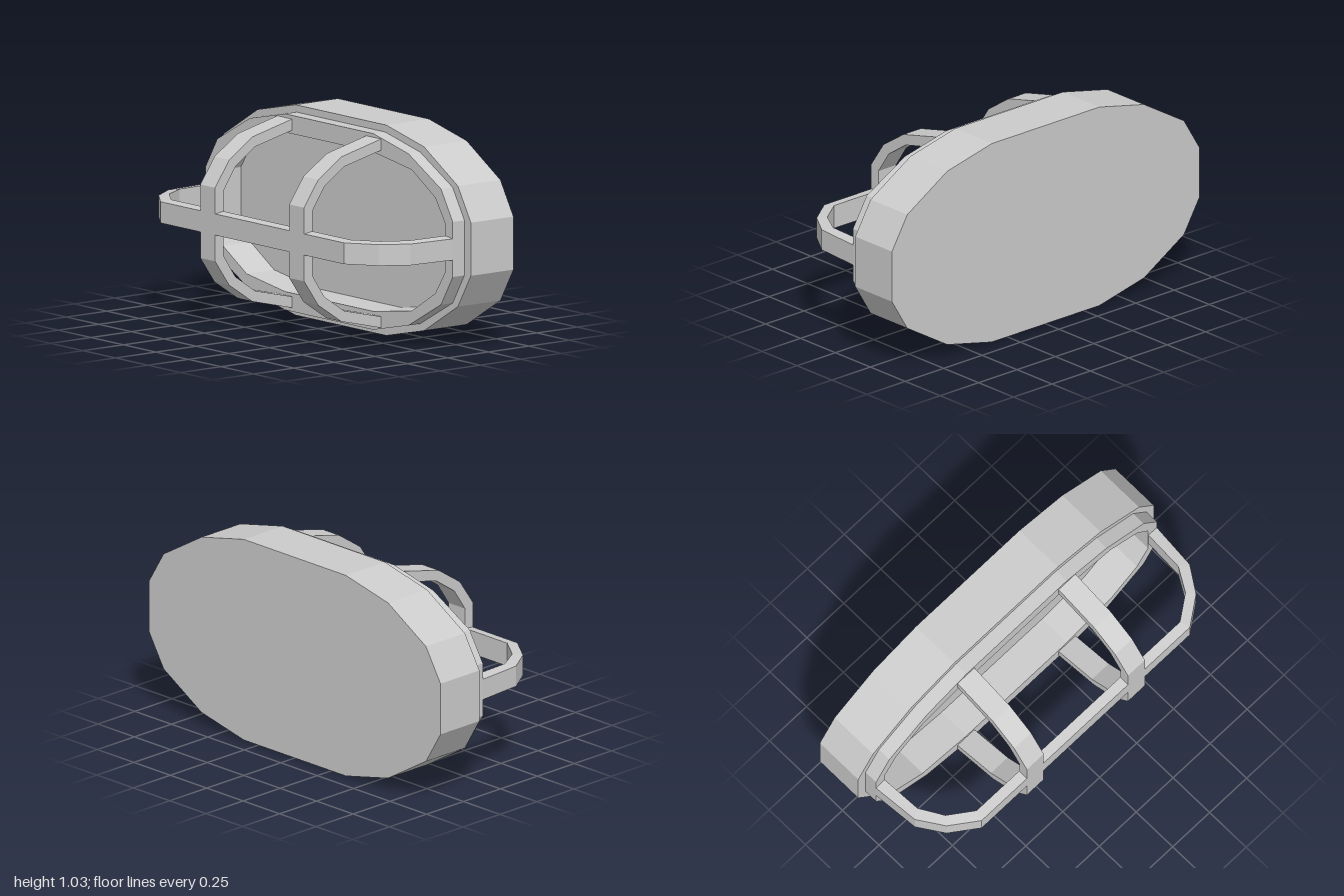
import * as THREE from 'three';

const material = new THREE.MeshStandardMaterial({ color: 0xcccccc, flatShading: true });
const CENTRE_Y = 0.515;

// Skin a list of equal-length closed loops of [x, y, z] points
function loft(name, loops) {
  const pos = [];
  const n = loops[0].length;
  for (let s = 0; s < loops.length - 1; s++) {
    for (let i = 0; i < n; i++) {
      const j = (i + 1) % n;
      const a = loops[s][i], b = loops[s][j], c = loops[s + 1][j], d = loops[s + 1][i];
      pos.push(...a, ...b, ...c, ...a, ...c, ...d);
    }
  }
  const geometry = new THREE.BufferGeometry();
  geometry.setAttribute('position', new THREE.Float32BufferAttribute(pos, 3));
  geometry.computeVertexNormals();
  const mesh = new THREE.Mesh(geometry, material);
  mesh.name = name;
  return mesh;
}

// Mirror one quarter outline into a counter-clockwise 16-sided loop at depth z
function outline(quarter, z) {
  const flipped = [...quarter].reverse();
  return [
    ...quarter,
    ...flipped.map(([x, y]) => [-x, y]),
    ...quarter.map(([x, y]) => [-x, -y]),
    ...flipped.map(([x, y]) => [x, -y]),
  ].map(([x, y]) => [x, y, z]);
}

// Flat bent strap arching over the front: half profiles of [across, z]
function strap(name, outer, inner, outerWidth, innerWidth) {
  const mirror = (p) => [...p, ...[...p].reverse().map(([a, z]) => [-a, z])];
  const out = mirror(outer), inn = mirror(inner);
  const loops = out.map(([a, z], i) => {
    const [b, w] = inn[i];
    return [
      [a, outerWidth / 2, z], [b, innerWidth / 2, w],
      [b, -innerWidth / 2, w], [a, -outerWidth / 2, z],
    ];
  });
  return loft(name, loops);
}

export function createModel() {
  const model = new THREE.Group();
  model.name = 'bulkheadLamp';

  // Housing: back plate, side wall, stepped rim and recessed floor
  const body = [[1, 0.13], [0.9, 0.295], [0.64, 0.45], [0.35, 0.515]];
  const rim = [[0.95, 0.135], [0.86, 0.283], [0.61, 0.42], [0.34, 0.48]];
  const hole = [[0.89, 0.122], [0.815, 0.235], [0.635, 0.345], [0.34, 0.39]];
  const point = [[0, 0], [0, 0], [0, 0], [0, 0]];
  const BACK = -0.405, STEP = -0.142, FRONT = -0.07, FLOOR = -0.24;
  const parts = {
    housing: [[point, BACK], [body, BACK], [body, STEP], [rim, STEP]],
    rim: [[rim, STEP], [rim, FRONT], [hole, FRONT]],
    recess: [[hole, FRONT], [hole, FLOOR], [point, FLOOR]],
  };
  for (const [name, stations] of Object.entries(parts)) {
    model.add(loft(name, stations.map(([shape, z]) => outline(shape, z))));
  }

  // Long guard bar running side to side
  model.add(strap('horizontalGuardBar',
    [[0.95, FRONT], [0.93, 0.175], [0.845, 0.305], [0.705, 0.405]],
    [[0.892, FRONT], [0.882, 0.145], [0.812, 0.265], [0.688, 0.353]],
    0.104, 0.118));

  // Two guard bars running top to bottom
  for (const side of [-1, 1]) {
    const bar = strap(side > 0 ? 'leftGuardBar' : 'rightGuardBar',
      [[0.462, FRONT], [0.403, 0.175], [0.307, 0.318], [0.18, 0.405]],
      [[0.407, FRONT], [0.353, 0.158], [0.27, 0.28], [0.16, 0.353]],
      0.114, 0.114);
    bar.rotation.z = Math.PI / 2;
    bar.position.x = side * 0.342;
    model.add(bar);
  }

  for (const part of model.children) part.position.y = CENTRE_Y;
  return model;
}
